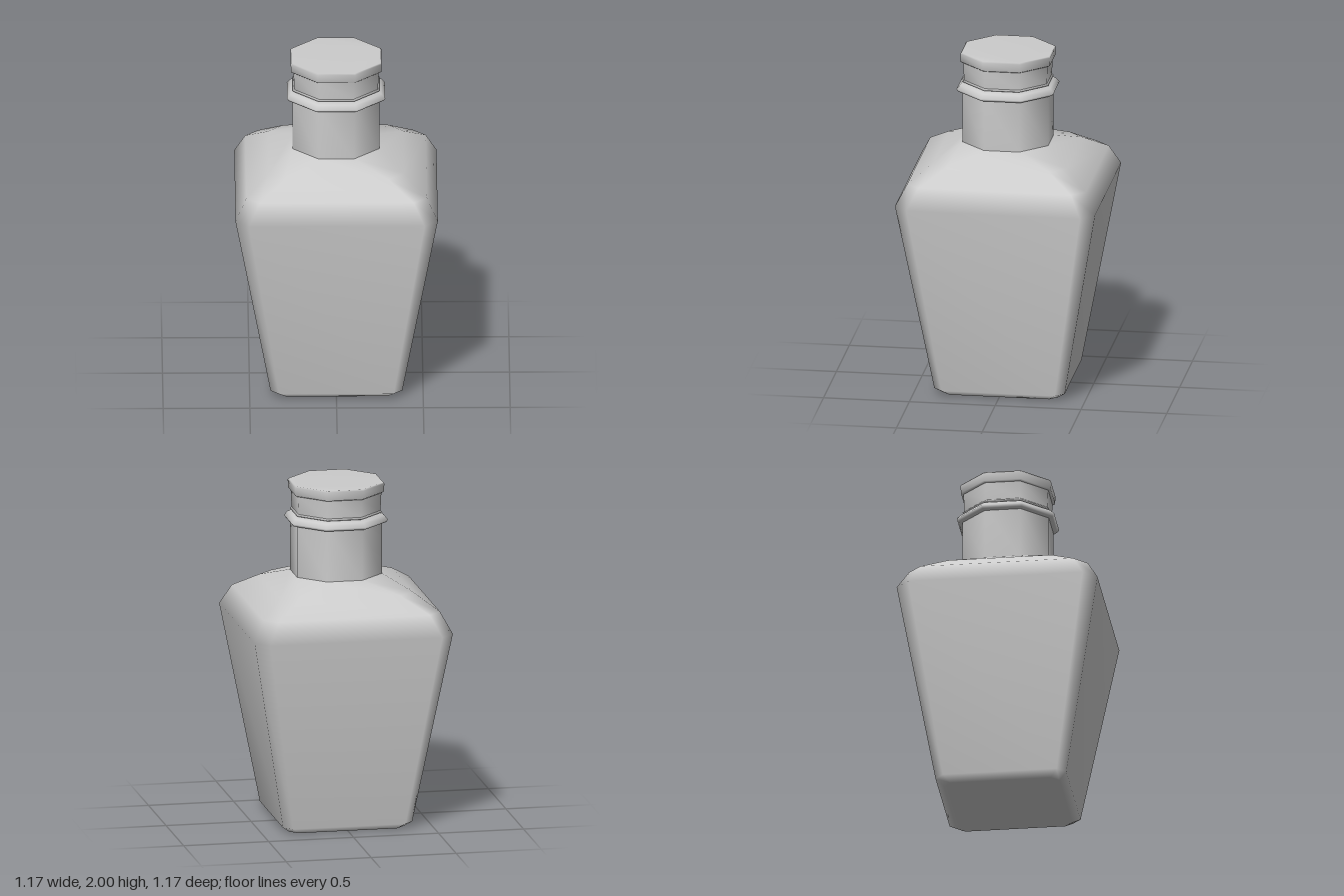
import * as THREE from 'three';

const material = new THREE.MeshStandardMaterial({ color: 0xcccccc, side: THREE.DoubleSide });
const OCTAGON = 2 - Math.SQRT2; // chamfer / half-width of a regular octagon

// Eight corners of a chamfered square, ordered from +x towards +z
function section([y, h, c = h * OCTAGON]) {
  const i = h - c;
  return [[h, -i], [h, i], [i, h], [-i, h], [-h, i], [-h, -i], [-i, -h], [i, -h]]
    .map(([x, z]) => [x, y, z]);
}

// Skin of [y, halfWidth, chamfer] sections from bottom to top, optionally closed
function loft(name, rows, capBottom = false, capTop = false) {
  const index = [];
  rows.slice(1).forEach((_, r) => {
    for (let j = 0; j < 8; j++) {
      const a = r * 8 + j, b = r * 8 + (j + 1) % 8;
      index.push(a, a + 8, b + 8, a, b + 8, b);
    }
  });
  const top = (rows.length - 1) * 8;
  for (let j = 1; j < 7; j++) {
    if (capBottom) index.push(0, j, j + 1);
    if (capTop) index.push(top, top + j + 1, top + j);
  }
  const geometry = new THREE.BufferGeometry();
  geometry.setAttribute('position', new THREE.Float32BufferAttribute(rows.flatMap(section).flat(), 3));
  geometry.setIndex(index);
  geometry.computeVertexNormals();
  const mesh = new THREE.Mesh(geometry, material);
  mesh.name = name;
  return mesh;
}

export function createModel() {
  const group = new THREE.Group();
  group.name = 'bottle';
  group.add(
    // Tapered square body with rounded shoulders
    loft('body', [
      [0, 0.335, 0.045], [0.035, 0.38, 0.05], [1.18, 0.583, 0.077],
      [1.3, 0.52, 0.075], [1.39, 0.39, 0.09], [1.46, 0.25],
    ], true),
    // Octagonal neck
    loft('neck', [[1.45, 0.25], [1.78, 0.25]]),
    // Flared lip around the mouth
    loft('lip', [[1.76, 0.25], [1.765, 0.272], [1.78, 0.283], [1.805, 0.262], [1.82, 0.235]], false, true),
    // Stopper: flared foot, waist and flat head
    loft('stopperFoot', [[1.815, 0.235], [1.822, 0.25], [1.832, 0.241]], true),
    loft('stopperWaist', [[1.83, 0.241], [1.94, 0.246]]),
    loft('stopperHead', [[1.938, 0.25], [1.945, 0.26], [1.992, 0.262], [2, 0.256]], true, true),
  );
  return group;
}
